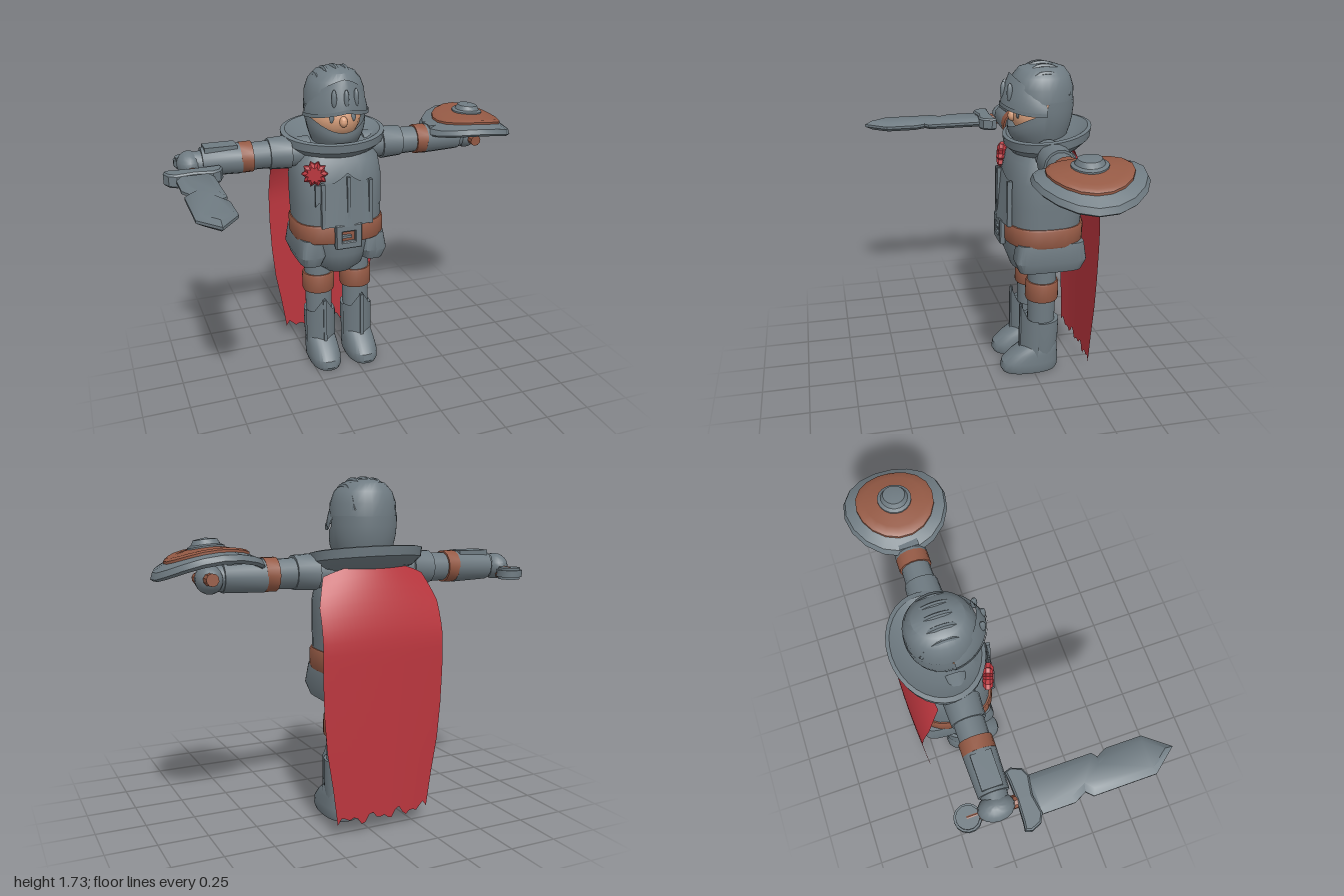
import * as THREE from 'three';
import { toCreasedNormals } from 'three/addons/utils/BufferGeometryUtils.js';

const mat = (name, color) => new THREE.MeshStandardMaterial({ name, color, side: THREE.DoubleSide });

export function createModel() {
  const steel = mat('steel', 0x6f7b82), red = mat('red cloth', 0xbb363e);
  const leather = mat('leather', 0x955a45), skin = mat('skin', 0xd9a07c);
  const root = new THREE.Group();
  root.name = 'knight';
  const body = new THREE.Group();
  body.name = 'body';
  body.position.set(-0.06, 0, -0.3);
  root.add(body);

  const add = (name, geo, m, parent = body) => {
    const mesh = new THREE.Mesh(toCreasedNormals(geo, 0.6), m);
    mesh.name = name;
    parent.add(mesh);
    return mesh;
  };
  // Grid surface from a rule; v runs upwards, u runs counterclockwise
  const surf = (nu, nv, fn) => {
    const p = [], idx = [];
    for (let j = 0; j <= nv; j++) for (let i = 0; i <= nu; i++) p.push(...fn(i / nu, j / nv));
    for (let j = 0; j < nv; j++) for (let i = 0; i < nu; i++) {
      const a = j * (nu + 1) + i, d = a + nu + 1;
      idx.push(a, a + 1, d + 1, a, d + 1, d);
    }
    const g = new THREE.BufferGeometry();
    g.setAttribute('position', new THREE.Float32BufferAttribute(p, 3));
    g.setIndex(idx);
    return g;
  };
  const pw = (c, e) => Math.sign(c) * Math.abs(c) ** (2 / e);
  // Stacked superellipse sections [y, rx, rz, zc], bottom to top
  const loft = (rows, e = 2, cx = 0, tilt = 0, n = 28) => surf(n, rows.length - 1, (u, v) => {
    const [y, rx, rz, zc = 0] = rows[Math.round(v * (rows.length - 1))], t = u * Math.PI * 2;
    const z = zc + rz * pw(Math.cos(t), e);
    return [cx + rx * pw(Math.sin(t), e), y + tilt * z, z];
  });
  const solid = (rows, ...rest) => {
    const a = rows[0], b = rows[rows.length - 1];
    return loft([[a[0], 0, 0, a[3]], ...rows, [b[0], 0, 0, b[3]]], ...rest);
  };
  // Curved plate around the vertical axis, t = 0 at the front
  const wrap = (half, lo, hi, radius, cx = 0, n = 24) => surf(n, 5, (u, v) => {
    const t = (u * 2 - 1) * half, y = lo(t) + (hi(t) - lo(t)) * v, [rx, rz] = radius(v, t);
    return [cx + rx * Math.sin(t), y, rz * Math.cos(t)];
  });
  const ball = (x, y, z, rx, ry, rz) => new THREE.SphereGeometry(1, 16, 10).scale(rx, ry, rz).translate(x, y, z);
  const poly = pts => new THREE.Shape(pts.map(p => new THREE.Vector2(...p)));
  const barX = (x0, x1, r0, r1, y) => new THREE.CylinderGeometry(r1, r0, Math.abs(x1 - x0), 14)
    .rotateZ(x1 > x0 ? -Math.PI / 2 : Math.PI / 2).translate((x0 + x1) / 2, y, 0);

  // Torso, belt and hips
  add('torso', solid([[0.86, 0.245, 0.2, -0.01], [1.0, 0.25, 0.21, -0.015], [1.13, 0.25, 0.205, -0.015],
    [1.23, 0.235, 0.175, -0.01], [1.3, 0.19, 0.12, 0]], 2.8), steel);
  add('chestPlate', surf(8, 1, (u, v) => {
    const x = (u * 2 - 1) * 0.14, a = Math.abs(x), top = 1.19 - 0.06 * Math.sin(a / 0.14 * 2.2);
    return [x, v ? top : 0.89, (v ? 0.21 : 0.225) - 0.2 * a + (v ? 0 : 0.01)];
  }), steel);
  for (const s of [-1, 1])
    add('chestPlateEdge', new THREE.BoxGeometry(0.02, 0.25, 0.025).translate(s * 0.135, 1.01, 0.195), steel);
  add('chestRidge', new THREE.BoxGeometry(0.015, 0.27, 0.02).translate(0, 1.035, 0.22), steel);
  add('belt', solid([[0.785, 0.252, 0.212, -0.01], [0.795, 0.257, 0.217, -0.01], [0.88, 0.257, 0.217, -0.01], [0.89, 0.252, 0.212, -0.01]], 2.8), leather);
  const frame = poly([[-0.07, -0.065], [0.07, -0.065], [0.07, 0.065], [-0.07, 0.065]]);
  frame.holes.push(poly([[-0.042, -0.035], [-0.042, 0.035], [0.042, 0.035], [0.042, -0.035]]));
  add('buckleFrame', new THREE.ExtrudeGeometry(frame, { depth: 0.025, bevelSize: 0.005, bevelThickness: 0.005, bevelSegments: 1 })
    .translate(0, 0.83, 0.2), steel);
  add('bucklePin', new THREE.BoxGeometry(0.06, 0.014, 0.025).translate(-0.015, 0.83, 0.215), steel);
  add('pelvis', solid([[0.565, 0.08, 0.1], [0.61, 0.14, 0.15], [0.7, 0.175, 0.185], [0.8, 0.2, 0.19]], 2.2), steel);
  for (const s of [-1, 1])
    add('hipPlate', solid([[0.64, 0.06, 0.17, -0.02], [0.7, 0.083, 0.195, -0.02], [0.8, 0.066, 0.18, -0.02]], 4, s * 0.18), steel);

  // Slanted collar
  add('collar', loft([[1.26, 0.15, 0.12, -0.02], [1.28, 0.24, 0.18, -0.03], [1.32, 0.285, 0.222, -0.035],
    [1.365, 0.29, 0.228, -0.035], [1.37, 0.265, 0.21, -0.035], [1.335, 0.19, 0.16, -0.02], [1.33, 0.1, 0.1, 0]], 2, 0, -0.16, 32), steel);

  // Red rosette with ribbon
  const star = poly(Array.from({ length: 20 }, (_, i) => {
    const r = i % 2 ? 0.052 : 0.07, t = i * Math.PI / 10;
    return [r * Math.cos(t), r * Math.sin(t)];
  }));
  add('rosette', new THREE.ExtrudeGeometry(star, { depth: 0.02, bevelSize: 0.015, bevelOffset: -0.015, bevelThickness: 0.015, bevelSegments: 1 })
    .rotateY(-0.35).translate(-0.165, 1.19, 0.155), red);
  add('ribbon', new THREE.ExtrudeGeometry(poly([[-0.02, 0], [0.02, 0], [0.025, -0.13], [0, -0.1], [-0.02, -0.12]]), { depth: 0.012, bevelEnabled: false })
    .translate(-0.155, 1.13, 0.18), steel);

  // Head and helmet
  add('face', ball(0, 1.455, 0, 0.14, 0.13, 0.155), skin);
  add('nose', ball(0, 1.45, 0.15, 0.022, 0.03, 0.025), skin);
  for (const s of [-1, 1]) {
    add('eye', ball(s * 0.06, 1.47, 0.137, 0.014, 0.025, 0.008), steel);
    add('eyebrow', new THREE.BoxGeometry(0.045, 0.009, 0.009).rotateZ(-s * 0.2).translate(s * 0.062, 1.508, 0.132), leather);
  }
  const openEdge = t => Math.abs(t) > 1.45 ? 1.54 : 1.395 + 0.085 * Math.sin(Math.abs(t)) ** 2;
  add('helmetLower', wrap(Math.PI, () => 1.3, openEdge, (v, t) => {
    const k = 0.72 + 0.28 * Math.sin(Math.min(1, v * 1.2) * Math.PI / 2);
    return [0.165 * k, 0.172 * k];
  }, 0, 48), steel);
  add('helmetDome', loft([[1.53, 0.164, 0.17], [1.6, 0.16, 0.168], [1.655, 0.14, 0.15], [1.695, 0.1, 0.12], [1.712, 0.05, 0.07], [1.714, 0, 0]]), steel);
  add('visor', wrap(1.5, t => 1.515 - 0.04 * Math.sin(Math.abs(t)), t => 1.675 - 0.14 * (Math.abs(t) / 1.5) ** 1.4,
    (v, t) => [0.176 - 0.02 * v * v, 0.215 - 0.045 * v ** 1.5 - 0.02 * Math.abs(Math.sin(t))]), steel);
  add('visorBrow', wrap(1.5, t => 1.51 - 0.04 * Math.sin(Math.abs(t)), t => 1.53 - 0.04 * Math.sin(Math.abs(t)),
    (v, t) => [0.182, 0.22 - 0.02 * Math.abs(Math.sin(t))]), steel);
  for (const x of [-0.06, 0, 0.06])
    add('visorRib', ball(x, 1.58, x ? 0.18 : 0.2, 0.014, 0.05, 0.016), steel);
  for (const [x, h] of [[0, 0], [-0.055, -0.006], [0.055, -0.006], [-0.105, -0.035], [0.105, -0.035]]) {
    const path = new THREE.CatmullRomCurve3([[1.665, 0.11], [1.708, 0.05], [1.712, -0.03], [1.67, -0.115], [1.6, -0.155]]
      .map(([y, z]) => new THREE.Vector3(x, y + h, z * (1 - Math.abs(x) * 2.2))));
    add('helmetRidge', new THREE.TubeGeometry(path, 12, 0.013, 6), steel);
  }

  for (const s of [-1, 1]) {
    // Arm
    const arm = new THREE.Group();
    arm.name = s > 0 ? 'leftArm' : 'rightArm';
    body.add(arm);
    add('upperArm', barX(s * 0.15, s * 0.48, 0.08, 0.072, 1.272), steel, arm);
    add('shoulderCuff', barX(s * 0.26, s * 0.375, 0.09, 0.084, 1.275), steel, arm);
    add('elbowStrap', barX(s * 0.465, s * 0.53, 0.082, 0.082, 1.272), leather, arm);
    add('forearm', barX(s * 0.525, s * 0.73, 0.082, 0.075, 1.27), steel, arm);
    add('bracer', new THREE.BoxGeometry(0.17, 0.035, 0.1).translate(s * 0.63, 1.335, 0), steel, arm);
    add('wrist', barX(s * 0.72, s * 0.77, 0.065, 0.06, 1.265), steel, arm);
    add('fist', ball(s * 0.79, 1.262, -0.01, 0.065, 0.068, 0.088), steel, arm);

    // Leg
    const leg = new THREE.Group();
    leg.name = s > 0 ? 'leftLeg' : 'rightLeg';
    leg.position.x = s * 0.113;
    body.add(leg);
    add('thigh', solid([[0.28, 0.075, 0.075], [0.68, 0.08, 0.08]]), steel, leg);
    add('kneeStrap', solid([[0.44, 0.088, 0.088], [0.45, 0.092, 0.092], [0.54, 0.092, 0.09], [0.55, 0.088, 0.086]]), leather, leg);
    add('greave', solid([[0.09, 0.08, 0.085], [0.2, 0.088, 0.098], [0.31, 0.088, 0.1]]), steel, leg);
    add('shinPlate', wrap(1.25, () => 0.1, t => 0.425 - 0.1 * Math.min(1, Math.abs(t) * 1.5),
      (v, t) => [0.092, 0.12 - 0.012 * Math.min(1, Math.abs(t) * 2)], 0, 12), steel, leg);
    add('shinRidge', new THREE.BoxGeometry(0.018, 0.29, 0.018).translate(0, 0.26, 0.115), steel, leg);
    add('boot', solid([[0, 0.083, 0.155, 0.065], [0.02, 0.09, 0.165, 0.065], [0.06, 0.09, 0.162, 0.062],
      [0.11, 0.085, 0.135, 0.038], [0.15, 0.08, 0.105, 0.01], [0.17, 0.07, 0.09, 0]], 2.4), steel, leg);
  }

  // Sword with notched blade
  const sword = new THREE.Group();
  sword.name = 'sword';
  sword.position.set(-0.85, 1.235, 0);
  root.add(sword);
  const blade = poly([[-0.095, -0.15], [0.095, -0.15], [0.095, 0.19], [0.07, 0.21], [0.095, 0.26], [0.095, 0.44], [0, 0.56],
    [-0.095, 0.44], [-0.095, 0.13], [-0.065, 0.1], [-0.095, 0.04]]);
  add('blade', new THREE.ExtrudeGeometry(blade, { depth: 0.014, bevelThickness: 0.02, bevelSize: 0.03, bevelOffset: -0.03, bevelSegments: 1 })
    .rotateX(Math.PI / 2).translate(0, 0.007, 0), steel, sword);
  const guard = poly([[-0.15, -0.02], [-0.14, -0.05], [-0.1, -0.045], [0, -0.04], [0.1, -0.045], [0.14, -0.05], [0.15, -0.02],
    [0.13, 0.03], [0.09, 0.05], [0, 0.035], [-0.09, 0.05], [-0.13, 0.03]]);
  add('guard', new THREE.ExtrudeGeometry(guard, { depth: 0.05, bevelThickness: 0.01, bevelSize: 0.008, bevelOffset: -0.008, bevelSegments: 1 })
    .rotateX(Math.PI / 2).translate(0, 0.025, -0.17), steel, sword);
  add('grip', new THREE.CylinderGeometry(0.032, 0.032, 0.3, 10).rotateX(Math.PI / 2).translate(0, 0, -0.3), leather, sword);
  add('pommel', new THREE.CylinderGeometry(0.055, 0.055, 0.06, 14).translate(0, 0, -0.445), steel, sword);
  add('pommelRim', new THREE.CylinderGeometry(0.065, 0.065, 0.035, 14).translate(0, 0, -0.445), steel, sword);

  // Round shield, drooping towards both sides
  const shield = new THREE.Group();
  shield.name = 'shield';
  shield.position.set(0.732, 1.345, -0.3);
  shield.rotation.set(0.06, 0, -0.07);
  root.add(shield);
  const disc = (name, pts, m) => {
    const g = new THREE.LatheGeometry(pts.map(p => new THREE.Vector2(...p)), 18), p = g.attributes.position;
    for (let i = 0; i < p.count; i++) p.setY(i, p.getY(i) - 0.9 * p.getX(i) ** 2);
    add(name, g, m, shield);
  };
  disc('shieldRim', [[0, 0.02], [0.12, 0.015], [0.22, -0.005], [0.25, -0.01], [0.262, 0.005], [0.25, 0.03], [0.19, 0.042], [0.18, 0.03]], steel);
  disc('shieldPanel', [[0.196, 0.03], [0.196, 0.052], [0.18, 0.06], [0.15, 0.058], [0.08, 0.065], [0, 0.065]], leather);
  disc('shieldBoss', [[0.085, 0.05], [0.085, 0.072], [0.068, 0.078], [0.055, 0.1], [0, 0.106]], steel);
  add('shieldHandle', new THREE.CylinderGeometry(0.03, 0.03, 0.24, 10).rotateX(Math.PI / 2).translate(0.02, -0.08, 0), leather, shield);

  // Cape with ragged hem
  const half = [0.25, 0.275, 0.305, 0.32, 0.326, 0.325, 0.32, 0.27];
  add('cape', surf(24, 21, (u, v) => {
    const k = v * 7, i = Math.min(6, Math.floor(k)), w = half[i] + (half[i + 1] - half[i]) * (k - i);
    const a = u * 2 - 1, hem = (1 - v) ** 6 * 0.016 * (Math.sin(u * 23) + Math.sin(u * 41));
    const y = 0.08 + 1.24 * v + hem - 0.06 * v ** 8 * a * a;
    const lean = Math.max(0, (y - 0.93) / 0.37);
    return [-0.06 + a * w, y, -0.558 + 0.015 * a * a + lean ** 1.6 * (0.1 + 0.05 * a * a)];
  }), red, root);

  return root;
}
